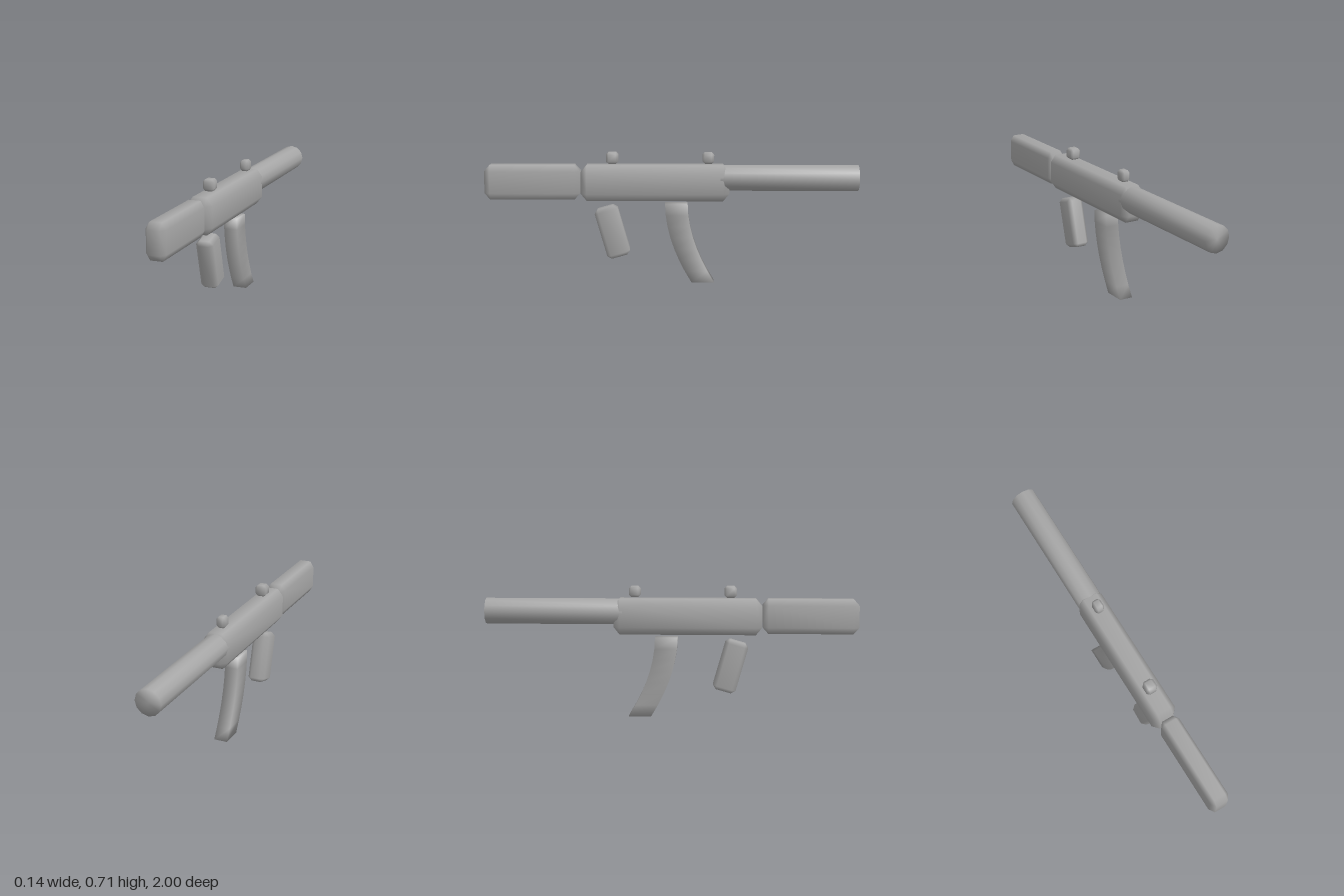
import * as THREE from 'three';
import { mergeVertices } from 'three/addons/utils/BufferGeometryUtils.js';
import { ConvexGeometry } from 'three/addons/geometries/ConvexGeometry.js';

// Share vertices so that shading flows softly across every edge
function soften(geometry) {
  geometry.deleteAttribute('normal');
  geometry.deleteAttribute('uv');
  const merged = mergeVertices(geometry, 1e-4);
  merged.computeVertexNormals();
  return merged;
}

// Box with chamfered edges: three points at each corner
function chamferBox(size, chamfer) {
  const points = [];
  for (const sx of [-1, 1]) for (const sy of [-1, 1]) for (const sz of [-1, 1]) {
    const signs = [sx, sy, sz];
    for (let face = 0; face < 3; face++) {
      const p = signs.map((s, i) => s * (size[i] / 2 - (i === face ? 0 : chamfer[i])));
      points.push(new THREE.Vector3(...p));
    }
  }
  return soften(new ConvexGeometry(points));
}

export function createModel() {
  const model = new THREE.Group();
  model.name = 'model';
  const grey = new THREE.MeshStandardMaterial({ name: 'grey', color: 0xa6a6a6 });

  const add = (name, geometry, x, y, z) => {
    const mesh = new THREE.Mesh(geometry, grey);
    mesh.name = name;
    mesh.position.set(x, y, z);
    model.add(mesh);
    return mesh;
  };

  // Main housing and the narrower block in front of it
  add('body', chamferBox([0.136, 0.193, 0.795], [0.03, 0.04, 0.033]), -0.001, 0.5435, 0.0875);
  add('frontBlock', chamferBox([0.104, 0.186, 0.512], [0.02, 0.034, 0.03]), -0.001, 0.547, 0.744);

  // Rear tube
  const tube = new THREE.CylinderGeometry(0.07, 0.07, 0.74, 12);
  tube.rotateX(Math.PI / 2);
  add('rearTube', soften(tube), -0.001, 0.568, -0.63);

  // Two small blocks on top
  add('frontSight', chamferBox([0.062, 0.062, 0.065], [0.013, 0.013, 0.013]), -0.001, 0.676, 0.316);
  add('rearSight', chamferBox([0.05, 0.06, 0.063], [0.011, 0.013, 0.013]), -0.001, 0.676, -0.197);

  // Slanted grip
  const grip = add('grip', chamferBox([0.096, 0.28, 0.127], [0.021, 0.02, 0.021]), -0.001, 0.275, 0.318);
  grip.rotation.x = 0.277;

  // Curved lower piece, swept backwards towards the bottom
  const height = 0.43;
  const curve = new THREE.BoxGeometry(0.074, height, 0.121, 1, 7, 1);
  const pos = curve.attributes.position;
  for (let i = 0; i < pos.count; i++) {
    const t = Math.max(0, 0.5 - pos.getY(i) / height);
    pos.setZ(i, pos.getZ(i) - 0.143 * Math.pow(t, 1.9));
  }
  add('curvedPiece', soften(curve), -0.001, height / 2, -0.027);

  return model;
}
